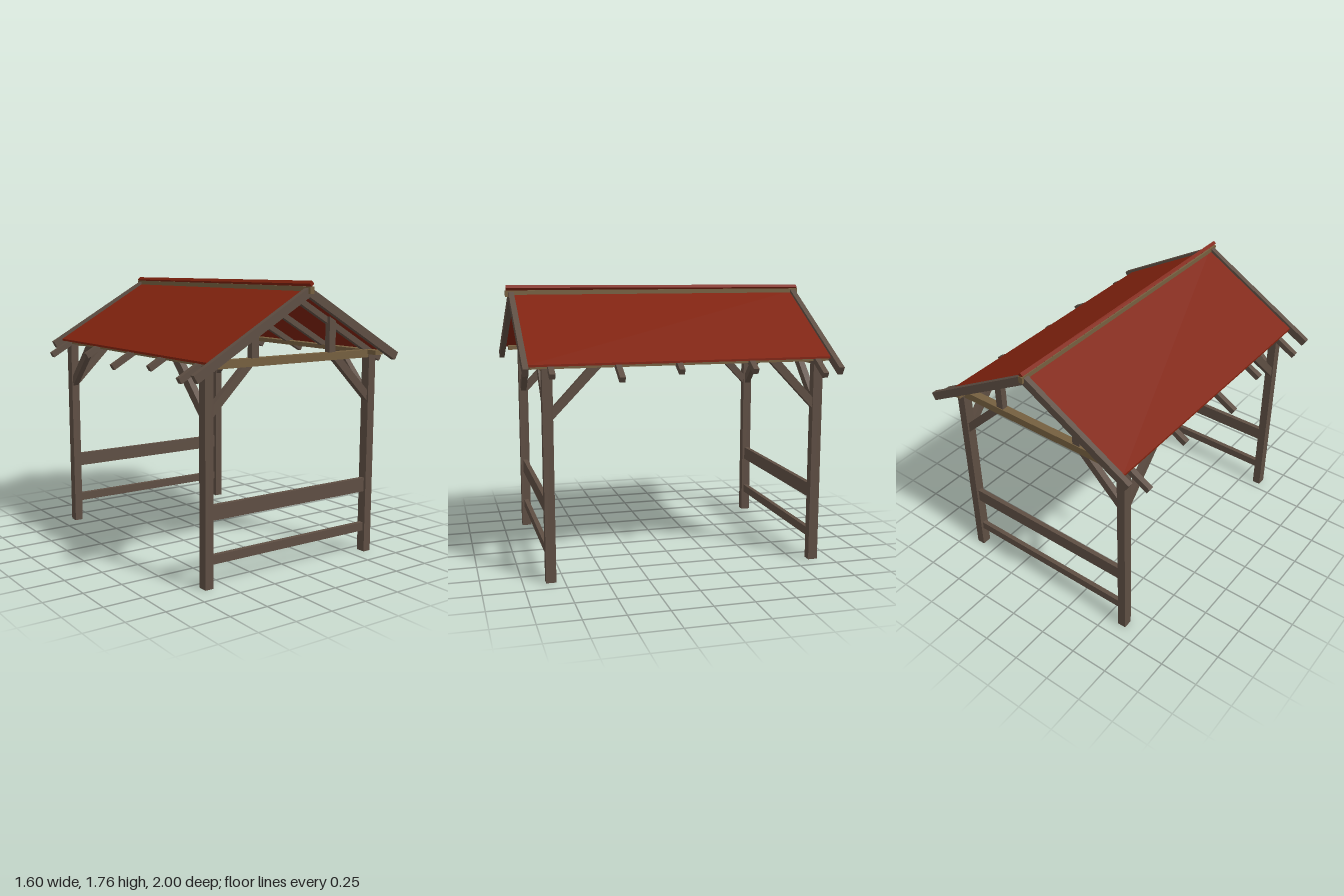
import * as THREE from 'three';

export function createModel() {
  const group = new THREE.Group();
  const mat = (name, color) => {
    const m = new THREE.MeshStandardMaterial({ color });
    m.name = name;
    return m;
  };
  const timber = mat('dark timber', 0x5e4e43);
  const beamWood = mat('light timber', 0x755f3f);
  const roofRed = mat('roof red', 0x80220e);

  const add = (name, geo, material, x, y, z) => {
    const mesh = new THREE.Mesh(geo, material);
    mesh.name = name;
    mesh.position.set(x, y, z);
    group.add(mesh);
    return mesh;
  };
  const box = (name, material, w, h, d, x, y, z) =>
    add(name, new THREE.BoxGeometry(w, h, d), material, x, y, z);
  // Flat outline in x/y given thickness along z, centred on z
  const slab = (name, material, pts, depth, x, z) => {
    const shape = new THREE.Shape(pts.map(p => new THREE.Vector2(p[0], p[1])));
    const geo = new THREE.ExtrudeGeometry(shape, { depth, bevelEnabled: false });
    geo.translate(0, 0, -depth / 2);
    return add(name, geo, material, x, 0, z);
  };

  const slope = 0.575;
  const postX = 0.6225, frontZ = 0.832, backZ = -0.878;

  // End frames: posts, rails, tie beam, struts and braces
  for (const z of [frontZ, backZ]) {
    box('lowerRail', timber, 1.2, 0.055, 0.03, 0, 0.167, z);
    box('upperRail', timber, 1.2, 0.09, 0.03, 0, 0.448, z);
    box('tieBeam', beamWood, 1.2, 0.048, 0.05, 0, 1.301, z);
    for (const s of [-1, 1]) {
      box('post', timber, 0.055, 1.3, 0.062, s * postX, 0.65, z);
      slab('strut', timber, [
        [s * 0.27, 1.32], [s * 0.32, 1.32],
        [s * 0.32, 1.7 - slope * 0.32], [s * 0.27, 1.7 - slope * 0.27],
      ], 0.04, 0, z);
      slab('crossBrace', timber, [
        [s * 0.6, 0.995], [s * 0.6, 1.065], [s * 0.38, 1.28], [s * 0.31, 1.28],
      ], 0.04, 0, z);
      // Brace running along the side, up to the wall plate
      const dir = Math.sign(z), face = z - dir * 0.028;
      slab('sideBrace', timber, [
        [face, 0.995], [face, 1.065],
        [face - dir * 0.222, 1.302], [face - dir * 0.297, 1.302],
      ], 0.04, s * postX, 0).rotation.y = -Math.PI / 2;
    }
  }

  // Wall plates and ridge beam
  for (const s of [-1, 1])
    box('wallPlate', beamWood, 0.06, 0.028, 1.88, s * 0.615, 1.311, -0.01);
  box('ridgeBeam', beamWood, 0.028, 0.042, 2, 0, 1.711, 0);

  // Rafters of uneven length: [z, left reach, right reach, top at ridge, height]
  const rafters = [
    [-0.967, 0.8, 0.735, 1.73, 0.06],
    [-0.863, 0.8, 0.8, 1.7, 0.042],
    [-0.428, 0.745, 0.75, 1.7, 0.042],
    [0.035, 0.73, 0.8, 1.7, 0.042],
    [0.41, 0.78, 0.755, 1.7, 0.042],
    [0.812, 0.735, 0.8, 1.7, 0.042],
    [0.963, 0.73, 0.8, 1.73, 0.06],
  ];
  for (const [z, left, right, top, h] of rafters) {
    for (const [s, reach] of [[1, left], [-1, right]]) {
      const cut = h * slope / (1 + slope * slope); // square-cut end
      slab(h > 0.05 ? 'bargeRafter' : 'rafter', timber, [
        [0, top], [s * reach, top - slope * reach],
        [s * (reach - cut), top - h - slope * (reach - cut)], [0, top - h],
      ], 0.035, 0, z);
    }
  }

  // Roof panels
  for (const s of [-1, 1])
    slab('roofPanel', roofRed, [
      [0, 1.712], [s * 0.67, 1.712 - slope * 0.67],
      [s * 0.67, 1.699 - slope * 0.67], [0, 1.699],
    ], 1.895, 0, -0.003);

  // Ridge cap: a square bar on edge, tipping slightly down toward the back
  const cap = new THREE.BoxGeometry(0.024, 0.024, 1.99);
  cap.rotateZ(Math.PI / 4);
  add('ridgeCap', cap, roofRed, 0, 1.744, 0).rotation.x = -0.004;

  return group;
}
